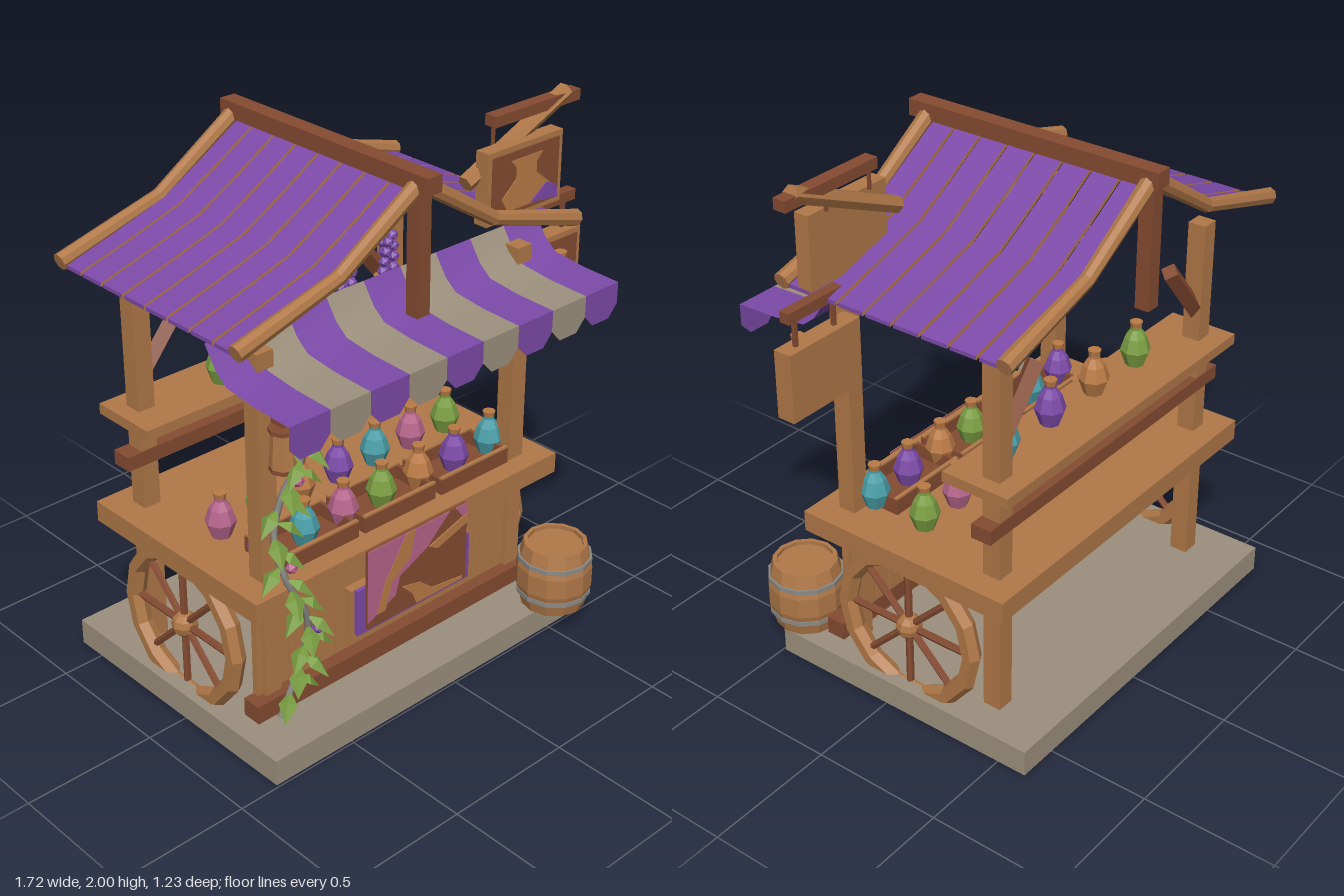
import * as THREE from 'three';

const mat = (name, color, side = THREE.FrontSide) => {
  const m = new THREE.MeshStandardMaterial({ color, side });
  m.name = name;
  return m;
};

export function createModel() {
  const wood = mat('wood', 0xb07848), dark = mat('dark wood', 0x854b32);
  const purple = mat('purple', 0x7c4aa8, THREE.DoubleSide), canvas = mat('stone and canvas', 0x9c907d, THREE.DoubleSide);
  const green = mat('green', 0x7a9e42, THREE.DoubleSide), teal = mat('teal', 0x4a9ea8);
  const pink = mat('pink', 0xb5648a), amber = mat('amber', 0xba7a45), metal = mat('metal', 0x8c8a85);
  const root = new THREE.Group();
  root.name = 'marketStall';
  const C = -0.09; // centre line of the stall

  const flat = (g) => {
    const f = g.index ? g.toNonIndexed() : g;
    f.computeVertexNormals();
    return f;
  };
  const add = (name, geo, material, x = 0, y = 0, z = 0, parent = root) => {
    const m = new THREE.Mesh(geo, material);
    m.name = name;
    m.position.set(x, y, z);
    parent.add(m);
    return m;
  };
  // Box given by its limits on each axis
  const box = (name, material, x0, x1, y0, y1, z0, z1, parent = root) =>
    add(name, new THREE.BoxGeometry(x1 - x0, y1 - y0, z1 - z0), material, (x0 + x1) / 2, (y0 + y1) / 2, (z0 + z1) / 2, parent);
  // Round or square bar between two points
  const rod = (name, material, a, b, r, sides = 8, r2 = r) => {
    const A = new THREE.Vector3(...a), B = new THREE.Vector3(...b), d = B.clone().sub(A);
    const m = add(name, flat(new THREE.CylinderGeometry(r2, r, d.length(), sides)), material);
    m.position.copy(A).add(B).multiplyScalar(0.5);
    m.quaternion.setFromUnitVectors(new THREE.Vector3(0, 1, 0), d.normalize());
    return m;
  };
  const shapeOf = (pts) => new THREE.Shape(pts.map((p) => new THREE.Vector2(...p)));
  // Thin painted plate facing the front
  const plate = (name, material, pts, z) =>
    add(name, new THREE.ExtrudeGeometry(shapeOf(pts), { depth: 0.004, bevelEnabled: false }), material, 0, 0, z);

  // Base, frame and counter
  box('base', canvas, -0.84, 0.655, 0, 0.1, -0.615, 0.49);
  for (const s of [-1, 1]) {
    const x = C + s * 0.59;
    box('frontPost', wood, x - 0.034, x + 0.034, 0.1, 1.5, 0.225, 0.295);
    box('backPost', wood, x - 0.034, x + 0.034, 0.1, 1.5, -0.415, -0.345);
    rod('postBrace', dark, [x - s * 0.01, 1.15, -0.38], [x - s * 0.2, 1.38, -0.38], 0.035, 4);
  }
  box('counter', wood, -0.81, 0.63, 0.575, 0.655, -0.5, 0.375);
  box('shelf', wood, -0.775, 0.59, 1.0, 1.04, -0.49, -0.22);
  box('backRail', dark, -0.775, 0.59, 0.83, 0.885, -0.42, -0.34);
  box('lowerRail', dark, -0.775, 0.595, 0.125, 0.195, 0.25, 0.325);
  for (let i = 0; i < 18; i++) {
    const x = -0.735 + i * 0.0717;
    box('frontPlank', wood, x, x + 0.066, 0.12, 0.58, 0.25, 0.275);
  }

  // Wheels
  for (const x of [-0.775, 0.595]) {
    const w = new THREE.Group();
    w.name = 'wheel';
    w.position.set(x, 0.34, -0.065);
    w.rotation.y = Math.PI / 2;
    root.add(w);
    add('rim', flat(new THREE.TorusGeometry(0.278, 0.036, 6, 14)), wood, 0, 0, 0, w);
    add('hub', flat(new THREE.SphereGeometry(0.048, 8, 6)), wood, 0, 0, 0, w);
    for (let i = 0; i < 4; i++)
      add('spoke', flat(new THREE.CylinderGeometry(0.014, 0.014, 0.53, 6)), dark, 0, 0, 0, w).rotation.z = i * Math.PI / 4;
  }

  // Bottles
  const bottleGeo = flat(new THREE.LatheGeometry(
    [[0, 0], [0.035, 0], [0.056, 0.06], [0.04, 0.11], [0.02, 0.14], [0.02, 0.155], [0, 0.155]].map((p) => new THREE.Vector2(...p)), 8));
  const corkGeo = flat(new THREE.CylinderGeometry(0.024, 0.02, 0.02, 8));
  const bottle = (material, x, y, z) => {
    const b = new THREE.Group();
    b.name = 'bottle';
    b.position.set(x, y, z);
    root.add(b);
    add('glass', bottleGeo, material, 0, 0, 0, b);
    add('cork', corkGeo, amber, 0, 0.16, 0, b);
  };
  [purple, teal, pink, green, amber, purple, teal].forEach((m, i) => bottle(m, C + (i - 3) * 0.18, 0.66, 0.2));
  [pink, green, amber, purple, teal, pink, green].forEach((m, i) => bottle(m, C + (i - 3) * 0.18, 0.66, -0.025));
  [green, amber, purple, teal].forEach((m, i) => bottle(m, -0.367 + i * 0.254, 1.045, -0.325));

  // Open trays around the front row
  for (const i of [-1, 0, 1]) {
    const a = C + i * 0.37 - 0.17, b = a + 0.34;
    box('trayFloor', dark, a, b, 0.655, 0.663, 0.1, 0.3);
    for (const z of [0.1, 0.285]) {
      box('traySide', dark, a, b, 0.655, 0.715, z, z + 0.015);
      box('trayRim', wood, a, b, 0.715, 0.722, z, z + 0.015);
    }
    for (const x of [a, b - 0.015]) box('trayEnd', dark, x, x + 0.015, 0.655, 0.715, 0.1, 0.3);
  }

  // Roof: ridge, king posts, rafters and curved slats
  box('ridgeBeam', dark, C - 0.032, C + 0.032, 1.9, 1.96, -0.585, 0.435);
  for (const z of [-0.54, 0.367]) {
    box('kingPost', dark, C - 0.028, C + 0.028, 1.46, 1.92, z - 0.027, z + 0.027);
    for (const s of [-1, 1]) {
      const p = [[0.0, 1.92], [0.345, 1.7], [0.765, 1.58]].map(([x, y]) => [C + s * x, y, z]);
      rod('rafter', wood, p[0], p[1], 0.03, 8, 0.026);
      rod('rafter', wood, p[1], p[2], 0.026, 8, 0.031);
    }
  }
  for (const s of [-1, 1]) {
    const prof = [[0, 1.905], [0.17, 1.8], [0.345, 1.7], [0.55, 1.635], [0.755, 1.575]].map(([x, y]) => [C + s * x, y]);
    const under = prof.map(([x, y]) => [x, y - 0.014]).reverse();
    const geo = new THREE.ExtrudeGeometry(shapeOf([...prof, ...under]), { depth: 0.103, bevelEnabled: false });
    for (let i = 0; i < 8; i++) add('roofSlat', geo, [amber, purple], 0, 0, -0.54 + i * 0.1135);
  }

  // Striped awning with a scalloped edge
  const fall = [[0.2, 1.55], [0.25, 1.475], [0.3, 1.435], [0.43, 1.42], [0.59, 1.415]];
  const W = 1.495 / 9;
  for (let i = 0; i < 9; i++) {
    const m = i % 2 ? canvas : purple, x = -0.84 + (i + 0.5) * W;
    const g = new THREE.PlaneGeometry(W, 1, 1, fall.length - 1), p = g.attributes.position;
    for (let k = 0; k < p.count; k++) {
      const [z, y] = fall[Math.floor(k / 2)];
      p.setXYZ(k, p.getX(k), y, z);
    }
    g.computeVertexNormals();
    add('awningStripe', g, m, x);
    const h = W / 2;
    add('awningScallop', new THREE.ShapeGeometry(shapeOf(
      [[-h, 1.415], [-h, 1.335], [-h * 0.5, 1.29], [h * 0.5, 1.29], [h, 1.335], [h, 1.415]])), m, x, 0, 0.59);
  }

  // Hanging purple bunches under the roof
  const bead = flat(new THREE.IcosahedronGeometry(0.022, 0));
  for (let i = 0; i < 4; i++) {
    const b = new THREE.Group();
    b.name = 'hangingBunch';
    b.position.set(C + (i - 1.5) * 0.2, 1.5, -0.09);
    root.add(b);
    for (let k = 0; k < 12; k++)
      add('bulb', bead, purple, 0.022 * Math.cos(k * 2.2), -k * 0.0127, 0.02 * Math.sin(k * 2.2), b);
  }

  // Hanging signs and their beams
  const sign = (x0, x1, y0, y1, z0, z1) => {
    box('signBoard', wood, x0, x1, y0, y1, z0, z1);
    box('signFace', dark, x0 + 0.02, x1 - 0.02, y0 + 0.02, y1 - 0.02, z1 - 0.002, z1 + 0.005);
  };
  sign(0.335, 0.705, 1.605, 1.87, 0.205, 0.262);
  sign(0.53, 0.86, 1.205, 1.455, 0.165, 0.235);
  plate('signFlask', amber, [[0.43, 1.64], [0.6, 1.64], [0.645, 1.69], [0.57, 1.75], [0.57, 1.79], [0.6, 1.82],
    [0.44, 1.82], [0.47, 1.79], [0.47, 1.75], [0.4, 1.69]], 0.266);
  plate('signFlaskLiquid', purple, [[0.54, 1.645], [0.68, 1.63], [0.67, 1.68], [0.62, 1.7]], 0.271);
  bottle(purple, 0.695, 1.25, 0.29);
  box('signBeam', dark, 0.405, 0.83, 1.935, 1.975, 0.175, 0.225);
  rod('signPole', wood, [0.29, 1.76, 0.2], [0.78, 1.975, 0.2], 0.031, 6);
  box('lowerSignBeam', dark, 0.51, 0.845, 1.555, 1.595, 0.175, 0.215);
  for (const x of [0.42, 0.625]) box('signHanger', dark, x - 0.005, x + 0.005, 1.86, 1.94, 0.195, 0.205);
  for (const x of [0.62, 0.8]) box('signHanger', dark, x - 0.007, x + 0.007, 1.45, 1.56, 0.19, 0.204);

  // Draped banner and the framed board behind it
  box('boardFrame', wood, -0.38, 0.195, 0.3, 0.5, 0.325, 0.36);
  box('boardFace', purple, -0.365, 0.18, 0.315, 0.5, 0.345, 0.375);
  box('banner', dark, -0.33, 0.15, 0.335, 0.65, 0.376, 0.39);
  plate('bannerPinkPatch', pink, [[-0.33, 0.65], [0.06, 0.65], [-0.05, 0.55], [-0.18, 0.49], [-0.2, 0.42], [-0.33, 0.36]], 0.388);
  plate('bannerPinkEdge', pink, [[0.09, 0.65], [0.15, 0.65], [0.15, 0.57]], 0.388);
  plate('bannerSash', amber, [[-0.15, 0.65], [-0.11, 0.65], [-0.13, 0.55], [-0.22, 0.48], [-0.25, 0.38], [-0.29, 0.38], [-0.25, 0.5]], 0.39);
  plate('bannerSwirl', amber, [[-0.17, 0.44], [-0.08, 0.42], [-0.02, 0.37], [0.13, 0.35], [0.13, 0.34], [-0.1, 0.34], [-0.12, 0.39]], 0.39);
  plate('bannerStripe', amber, [[-0.04, 0.55], [0.15, 0.61], [0.15, 0.57], [0, 0.525]], 0.39);

  // Barrel with metal hoops
  add('barrel', flat(new THREE.LatheGeometry(
    [[0, 0], [0.12, 0], [0.143, 0.09], [0.143, 0.17], [0.12, 0.26], [0.105, 0.26], [0.105, 0.245], [0, 0.245]]
      .map((p) => new THREE.Vector2(...p)), 12)), wood, 0.54, 0.1, 0.475);
  for (const y of [0.16, 0.3])
    add('barrelHoop', flat(new THREE.CylinderGeometry(0.141, 0.141, 0.018, 12)), metal, 0.54, y, 0.475);

  // Lantern on the front post
  add('lantern', flat(new THREE.CylinderGeometry(0.04, 0.05, 0.15, 8)), wood, -0.655, 1.17, 0.345);
  for (const y of [1.1, 1.24]) add('lanternRing', flat(new THREE.CylinderGeometry(0.05, 0.05, 0.015, 8)), dark, -0.655, y, 0.345);
  box('lanternHook', dark, -0.665, -0.645, 1.245, 1.28, 0.29, 0.355);

  // Climbing vine with folded leaves and blossoms
  const path = new THREE.CatmullRomCurve3([[-0.69, 0.12, 0.34], [-0.6, 0.33, 0.35], [-0.61, 0.52, 0.395], [-0.7, 0.72, 0.39],
    [-0.7, 0.85, 0.34], [-0.66, 1.0, 0.34], [-0.61, 1.14, 0.38], [-0.6, 1.27, 0.34]].map((p) => new THREE.Vector3(...p)));
  add('vineStem', new THREE.TubeGeometry(path, 32, 0.012, 6), metal);
  const leaf = new THREE.BufferGeometry();
  leaf.setAttribute('position', new THREE.Float32BufferAttribute(
    [0, 0, 0, -0.034, -0.008, 0.05, 0, 0.014, 0.055, 0.034, -0.008, 0.05, 0, -0.035, 0.115], 3));
  leaf.setIndex([0, 1, 2, 0, 2, 3, 1, 4, 2, 2, 4, 3]);
  const leafGeo = flat(leaf);
  for (let i = 0; i < 24; i++) {
    const p = path.getPointAt(0.08 + i * 0.04);
    const l = add('leaf', leafGeo, green, p.x, p.y, p.z);
    l.rotation.set(0.35, (i % 2 ? 1 : -1) * (0.9 + 0.5 * Math.sin(i * 1.7)), 0, 'YXZ');
  }
  for (const [t, m] of [[0.3, purple], [0.8, pink], [0.55, pink]]) {
    const p = path.getPointAt(t);
    add('blossom', flat(new THREE.IcosahedronGeometry(0.022, 0)), m, p.x + 0.03, p.y, p.z + 0.015);
  }
  return root;
}
